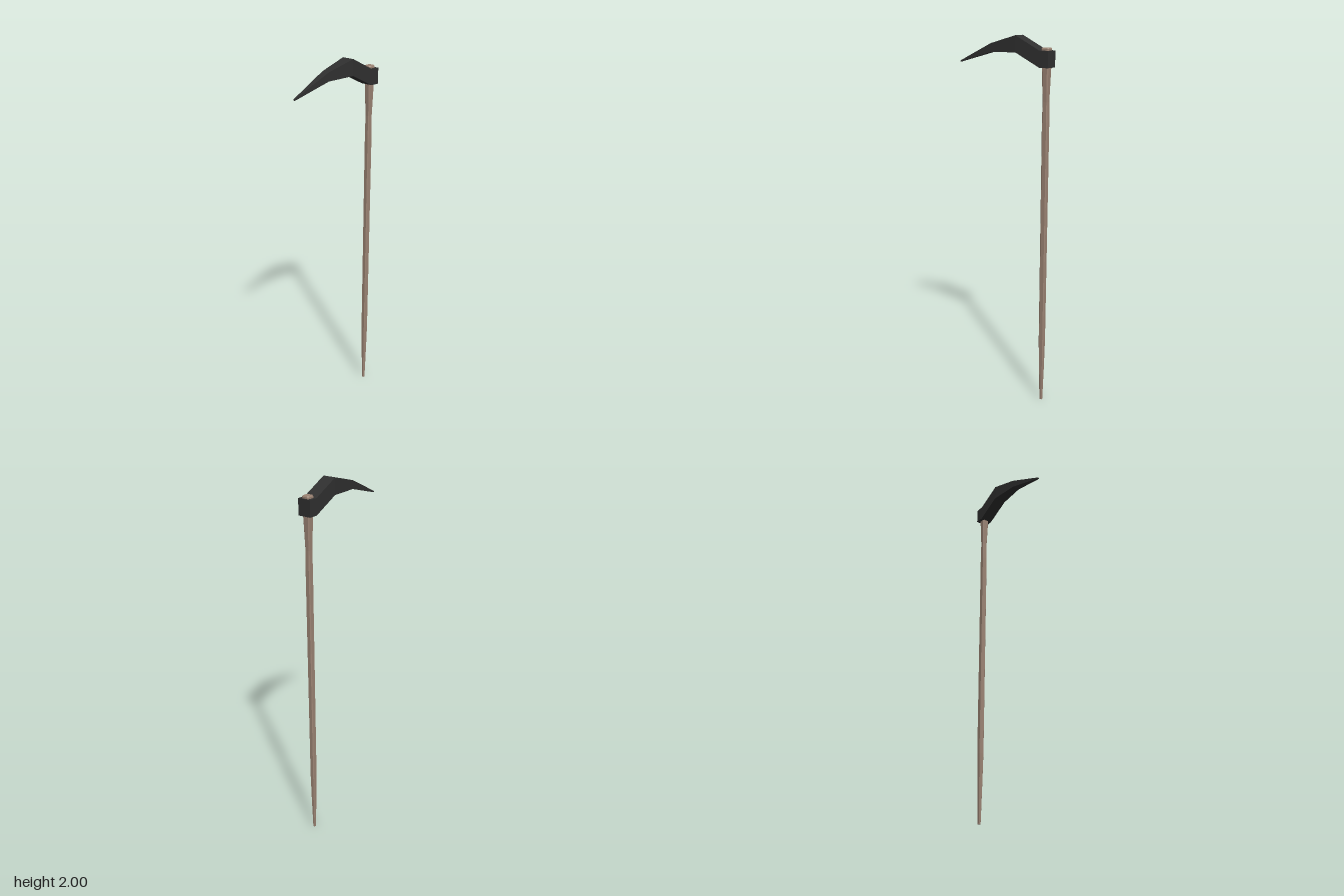
import * as THREE from 'three';

// Skin a list of equal-length rings (counter-clockwise seen from the far end) and cap both ends.
function loft(rings, color, name) {
  const pos = [];
  const tri = (...pts) => pts.forEach((p) => pos.push(...p));
  const n = rings[0].length;
  for (let r = 0; r < rings.length - 1; r++) {
    for (let i = 0; i < n; i++) {
      const j = (i + 1) % n;
      const [a, b, c, d] = [rings[r][i], rings[r][j], rings[r + 1][j], rings[r + 1][i]];
      tri(a, b, c);
      tri(a, c, d);
    }
  }
  const first = rings[0], last = rings[rings.length - 1];
  for (let i = 1; i < n - 1; i++) {
    tri(first[0], first[i + 1], first[i]);
    tri(last[0], last[i], last[i + 1]);
  }
  const geometry = new THREE.BufferGeometry();
  geometry.setAttribute('position', new THREE.Float32BufferAttribute(pos, 3));
  geometry.computeVertexNormals();
  const mesh = new THREE.Mesh(geometry, new THREE.MeshStandardMaterial({ color, flatShading: true }));
  mesh.name = name;
  return mesh;
}

const HANDLE_Z = -0.253;

// Square section with chamfered corners, lying flat at height y.
function handleRing([y, hx, hz]) {
  const k = 0.7;
  const corners = [[1, -k], [1, k], [k, 1], [-k, 1], [-1, k], [-1, -k], [-k, -1], [k, -1]];
  return corners.map(([u, v]) => [u * hx, y, HANDLE_Z - v * hz]);
}

// Upright rectangular section at depth z.
function bladeRing([z, half, bottom, top]) {
  return [[half, bottom, z], [half, top, z], [-half, top, z], [-half, bottom, z]];
}

export function createModel() {
  const group = new THREE.Group();
  group.name = 'pick';

  // Wooden handle: height, half width, half depth
  group.add(loft([
    [0, 0.006, 0.007],
    [0.2, 0.01, 0.012],
    [0.37, 0.013, 0.015],
    [1.58, 0.014, 0.016],
    [1.68, 0.013, 0.014],
    [1.84, 0.019, 0.019],
    [1.938, 0.021, 0.0215],
    [1.943, 0.018, 0.0185],
  ].map(handleRing), 0x9c8474, 'handle'));

  // Socket block and curved blade: depth, half width, bottom, top
  group.add(loft([
    [-0.281, 0.035, 1.848, 1.93],
    [-0.232, 0.035, 1.848, 1.93],
    [-0.09, 0.035, 1.917, 2],
    [0.07, 0.0215, 1.913, 1.957],
    [0.281, 0.004, 1.854, 1.861],
  ].map(bladeRing), 0x303030, 'blade'));

  return group;
}
